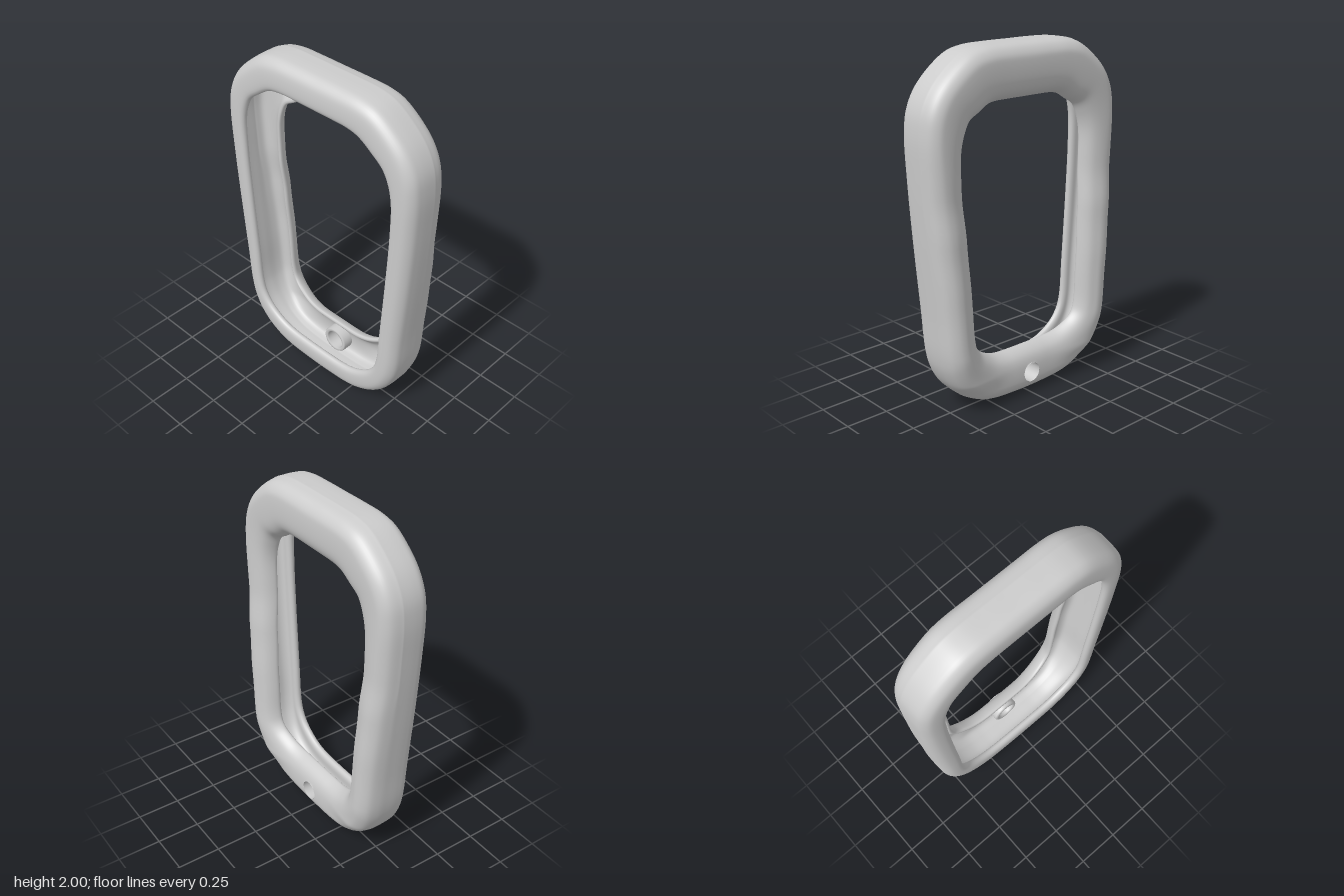
import * as THREE from 'three';

// Half outline, bottom centre to top centre: [outer z, outer y, inner z, inner y]
const HALF = [
  [0, 0.005, 0, 0.28], [0.12, 0.008, 0.09, 0.28], [0.22, 0.015, 0.17, 0.283],
  [0.32, 0.037, 0.235, 0.295], [0.43, 0.095, 0.29, 0.318], [0.51, 0.175, 0.34, 0.35],
  [0.56, 0.27, 0.372, 0.39], [0.585, 0.37, 0.388, 0.45], [0.605, 0.6, 0.4, 0.65],
  [0.64, 1.0, 0.42, 1.0], [0.663, 1.35, 0.435, 1.3], [0.668, 1.58, 0.433, 1.47],
  [0.65, 1.7, 0.41, 1.56], [0.6, 1.8, 0.378, 1.62], [0.52, 1.885, 0.32, 1.655],
  [0.4, 1.968, 0.255, 1.692], [0.3, 1.994, 0.2, 1.703], [0.15, 2.0, 0.1, 1.705], [0, 2.0, 0, 1.705],
];
// Height of the broad face along the side limbs: [y, x]
const FACE = [[0, 0.115], [0.1, 0.127], [0.2, 0.147], [0.38, 0.16], [0.7, 0.156], [1, 0.143], [1.25, 0.123], [1.6, 0.121], [1.85, 0.125], [2.1, 0.125]];
const HOLE = { y: 0.133, r: 0.057 };
const SECTION_POINTS = 110;

const smooth = THREE.MathUtils.smoothstep;

function faceX(y, z) {
  let k = 0;
  while (k < FACE.length - 2 && y > FACE[k + 1][0]) k++;
  const [a, b] = [FACE[k], FACE[k + 1]];
  const side = a[1] + (b[1] - a[1]) * smooth(y, a[0], b[0]);
  return THREE.MathUtils.lerp(Math.min(side, 0.122), side, smooth(Math.abs(z), 0.12, 0.45));
}

const backX = (y) => -0.15 - 0.0075 * y;

function closedCurve(col) {
  const pts = HALF.map((p) => new THREE.Vector3(0, p[col + 1], p[col]));
  const mirrored = pts.slice(1, -1).reverse().map((p) => new THREE.Vector3(0, p.y, -p.z));
  return new THREE.CatmullRomCurve3([...pts, ...mirrored], true);
}

// Inward-opening channel: [distance inward, x, reference] with x relative to the face (1), back (-1) or zero (0)
function sectionPoints(w) {
  const lip = 0.6 * w;
  const pts = [
    [0, 0, 0], [0.002, -0.1, 1], [0.02, -0.04, 1], [0.06, -0.007, 1], [0.1, 0, 1],
    [w - 0.085, -0.006, 1], [w - 0.04, -0.025, 1], [w - 0.01, -0.06, 1], [w, -0.095, 1],
    [w - 0.012, -0.105, 1], [w - 0.035, -0.085, 1], [w - 0.075, -0.055, 1], [0.1, -0.045, 1],
    [0.06, -0.06, 1], [0.046, -0.1, 1], [0.044, 0, 0], [0.046, 0.08, -1], [0.07, 0.048, -1],
    [lip - 0.02, 0.045, -1], [lip - 0.003, 0.035, -1], [lip, 0.018, -1], [lip - 0.015, 0.002, -1],
    [0.08, 0, -1], [0.04, 0.012, -1], [0.01, 0.045, -1], [0.002, 0.09, -1],
  ];
  // Resolve with nominal limits so spacing is even; shifted to the real ones afterwards
  const curve = new THREE.CatmullRomCurve3(
    pts.map(([d, x, ref]) => new THREE.Vector3(d, x + ref * 0.15, 0)), true);
  return curve.getSpacedPoints(SECTION_POINTS).slice(0, SECTION_POINTS);
}

function frameGeometry() {
  const outer = closedCurve(0), inner = closedCurve(2);
  const stations = (HALF.length - 1) * 2 * 8;
  const pos = [], inHole = [], index = [];
  for (let i = 0; i < stations; i++) {
    const o = outer.getPoint(i / stations), dir = inner.getPoint(i / stations).sub(o);
    const w = dir.length();
    dir.normalize();
    for (const s of sectionPoints(w)) {
      let y = o.y + dir.y * s.x, z = o.z + dir.z * s.x;
      const scale = s.y > 0 ? faceX(y, z) - 0.15 : backX(y) + 0.15;
      const x = s.y + scale * smooth(Math.abs(s.y), 0, 0.06);
      // Vertices inside the round hole are pushed out to its rim
      const dy = y - HOLE.y, r = Math.hypot(dy, z);
      const inside = x > 0 && r < HOLE.r;
      if (inside && r > 0.001) {
        y = HOLE.y + dy * HOLE.r / r;
        z *= HOLE.r / r;
      }
      inHole.push(inside);
      pos.push(x, y, z);
    }
  }
  const tri = (a, b, c) => {
    if (!(inHole[a] && inHole[b] && inHole[c])) index.push(a, b, c);
  };
  const n = SECTION_POINTS;
  for (let i = 0; i < stations; i++) {
    const i2 = (i + 1) % stations;
    for (let j = 0; j < n; j++) {
      const j2 = (j + 1) % n;
      const a = i * n + j, b = i * n + j2, c = i2 * n + j, d = i2 * n + j2;
      tri(a, b, c);
      tri(b, d, c);
    }
  }
  const g = new THREE.BufferGeometry();
  g.setAttribute('position', new THREE.Float32BufferAttribute(pos, 3));
  g.setIndex(index);
  g.computeVertexNormals();
  return g;
}

export function createModel() {
  const group = new THREE.Group();
  group.name = 'frame';
  const material = new THREE.MeshStandardMaterial({ color: 0xcccccc, side: THREE.DoubleSide });

  // Rounded hollow ring
  const ring = new THREE.Mesh(frameGeometry(), material);
  ring.name = 'channelRing';
  group.add(ring);

  // Short tube behind the hole
  const profile = [[HOLE.r, 0.122], [HOLE.r, 0.02], [0.062, 0.012], [0.077, 0.012], [0.082, 0.02], [0.082, 0.08]]
    .map(([r, h]) => new THREE.Vector2(r, h));
  const boss = new THREE.Mesh(new THREE.LatheGeometry(profile, 40), material);
  boss.name = 'holeTube';
  boss.rotation.z = -Math.PI / 2;
  boss.position.y = HOLE.y;
  group.add(boss);

  return group;
}
